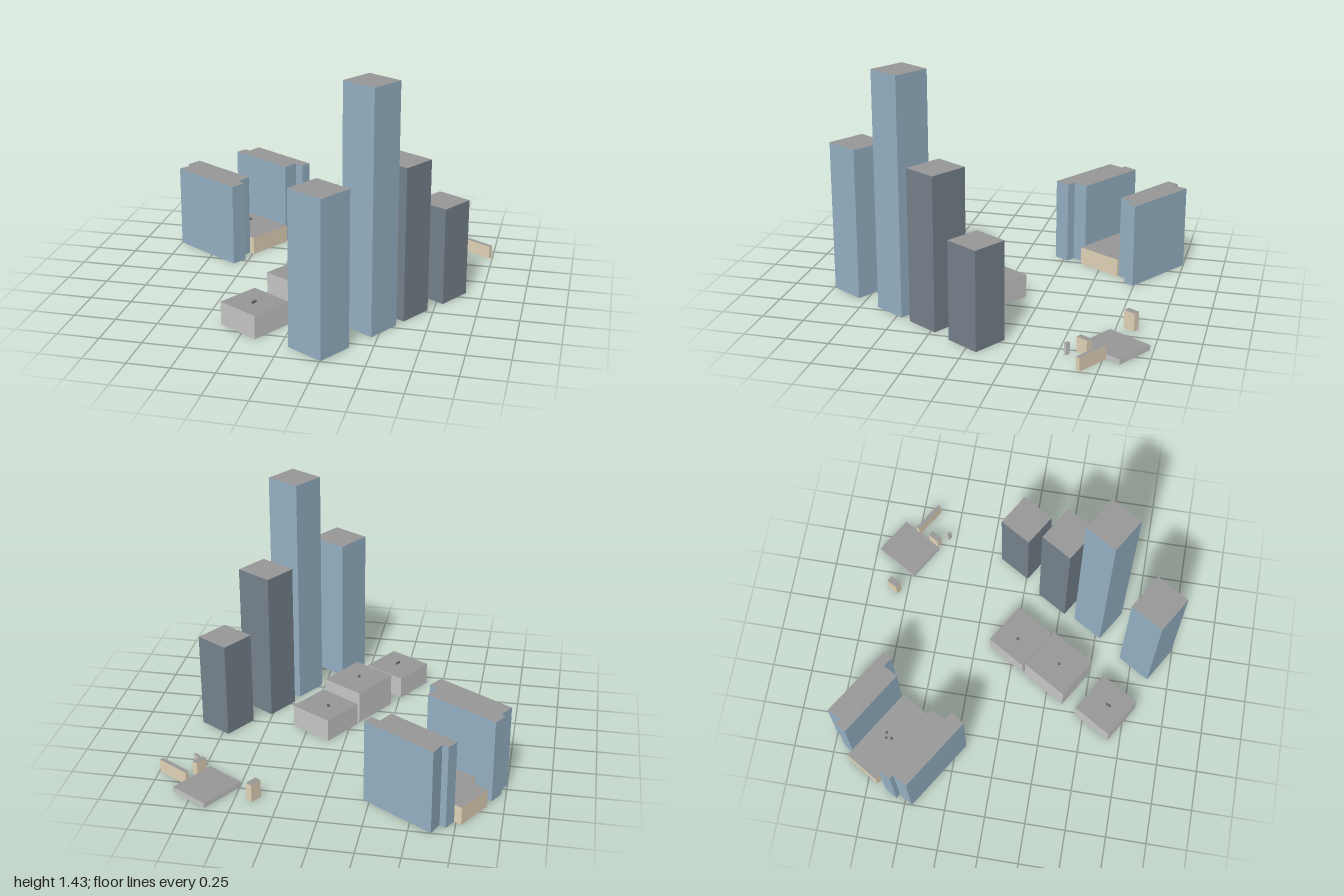
import * as THREE from 'three';
import { mergeGeometries } from 'three/addons/utils/BufferGeometryUtils.js';

const BLUE = 0x98b4c8, SLATE = 0x78848f, CREAM = 0xe8d8bc, GREY = 0xcccccc, ROOF = 0x999999, DARK = 0x666666;
const TURN = 0.541; // the whole street grid is turned by this angle
const C = Math.cos(TURN), S = Math.sin(TURN);

const mat = (color) => new THREE.MeshStandardMaterial({ color, side: THREE.DoubleSide, flatShading: true });

// Block with walls and a roof, open underneath; outline is [x, z] pairs
function block(name, color, outline, height, base = 0, roofColor = ROOF) {
  const group = new THREE.Group();
  group.name = name;
  const walls = outline.map(([x0, z0], i) => {
    const [x1, z1] = outline[(i + 1) % outline.length];
    const g = new THREE.PlaneGeometry(Math.hypot(x1 - x0, z1 - z0), height);
    g.rotateY(-Math.atan2(z1 - z0, x1 - x0));
    return g.translate((x0 + x1) / 2, base + height / 2, (z0 + z1) / 2);
  });
  const wallMesh = new THREE.Mesh(mergeGeometries(walls), mat(color));
  wallMesh.name = name + 'Walls';
  const shape = new THREE.Shape(outline.map(([x, z]) => new THREE.Vector2(x, -z)));
  const roof = new THREE.ShapeGeometry(shape).rotateX(-Math.PI / 2).translate(0, base + height, 0);
  const roofMesh = new THREE.Mesh(roof, mat(roofColor));
  roofMesh.name = name + 'Roof';
  group.add(wallMesh, roofMesh);
  return group;
}

// Rectangle on the street grid: centre, width and depth
const rect = (x, z, w, d) =>
  [[-1, 1], [1, 1], [1, -1], [-1, -1]].map(([a, b]) => {
    const u = a * w / 2, v = b * d / 2;
    return [x + u * C - v * S, z + u * S + v * C];
  });

export function createModel() {
  const model = new THREE.Group();
  model.name = 'cityBlock';

  // Rectangular buildings: name, colour, x, z, width, depth, height
  const buildings = [
    ['shortTower', SLATE, 0.752, -0.03, 0.22, 0.219, 0.59],
    ['darkTower', SLATE, 0.557, 0.253, 0.243, 0.213, 0.92],
    ['tallTower', BLUE, 0.422, 0.499, 0.227, 0.211, 1.43],
    ['frontTower', BLUE, 0.208, 0.835, 0.244, 0.224, 0.92],
    ['rearHall', GREY, 0.15, 0.034, 0.282, 0.272, 0.14],
    ['middleHall', GREY, -0.008, 0.299, 0.28, 0.308, 0.205],
    ['frontHall', GREY, -0.208, 0.632, 0.276, 0.266, 0.14],
    ['plaza', GREY, 0.677, -0.79, 0.254, 0.29, 0.03],
    ['kiosk', CREAM, 0.395, -0.835, 0.04, 0.075, 0.11],
    ['longWall', CREAM, 0.895, -0.702, 0.215, 0.025, 0.08],
    ['sideKiosk', CREAM, 0.763, -0.635, 0.037, 0.075, 0.09],
    ['pillar', GREY, 0.805, -0.55, 0.03, 0.016, 0.07],
  ];
  for (const [name, color, x, z, w, d, h] of buildings) model.add(block(name, color, rect(x, z, w, d), h));

  // Two stepped slab blocks with a low podium between them
  model.add(block('rearSlab', BLUE, [
    [-0.627, -1], [-0.664, -0.915], [-0.7, -0.936], [-0.739, -0.872],
    [-0.35, -0.637], [-0.3, -0.723], [-0.248, -0.69], [-0.216, -0.744],
  ], 0.51));
  model.add(block('frontSlab', BLUE, [
    [-0.925, -0.635], [-0.973, -0.557], [-0.947, -0.54], [-1, -0.455],
    [-0.573, -0.19], [-0.52, -0.275], [-0.568, -0.307], [-0.523, -0.39],
  ], 0.51));
  model.add(block('podium', CREAM, [
    [-0.34, -0.627], [-0.78, -0.893], [-0.904, -0.69],
    [-0.797, -0.625], [-0.823, -0.572], [-0.493, -0.37],
  ], 0.11));

  // Small rooftop units: x, z, size, roof height
  const units = [
    [0.13, 0.02, 0.017, 0.14], [-0.013, 0.305, 0.014, 0.205],
    [-0.205, 0.638, 0.015, 0.14], [-0.212, 0.655, 0.015, 0.14],
    [-0.635, -0.68, 0.014, 0.11], [-0.6, -0.682, 0.014, 0.11], [-0.633, -0.645, 0.015, 0.11],
  ];
  for (const [x, z, s, y] of units) {
    const outline = [[-1, 1], [1, 1], [1, -1], [-1, -1]].map(([a, b]) => [x + a * s / 2, z + b * s / 2]);
    model.add(block('roofUnit', DARK, outline, 0.011, y, DARK));
  }
  return model;
}
